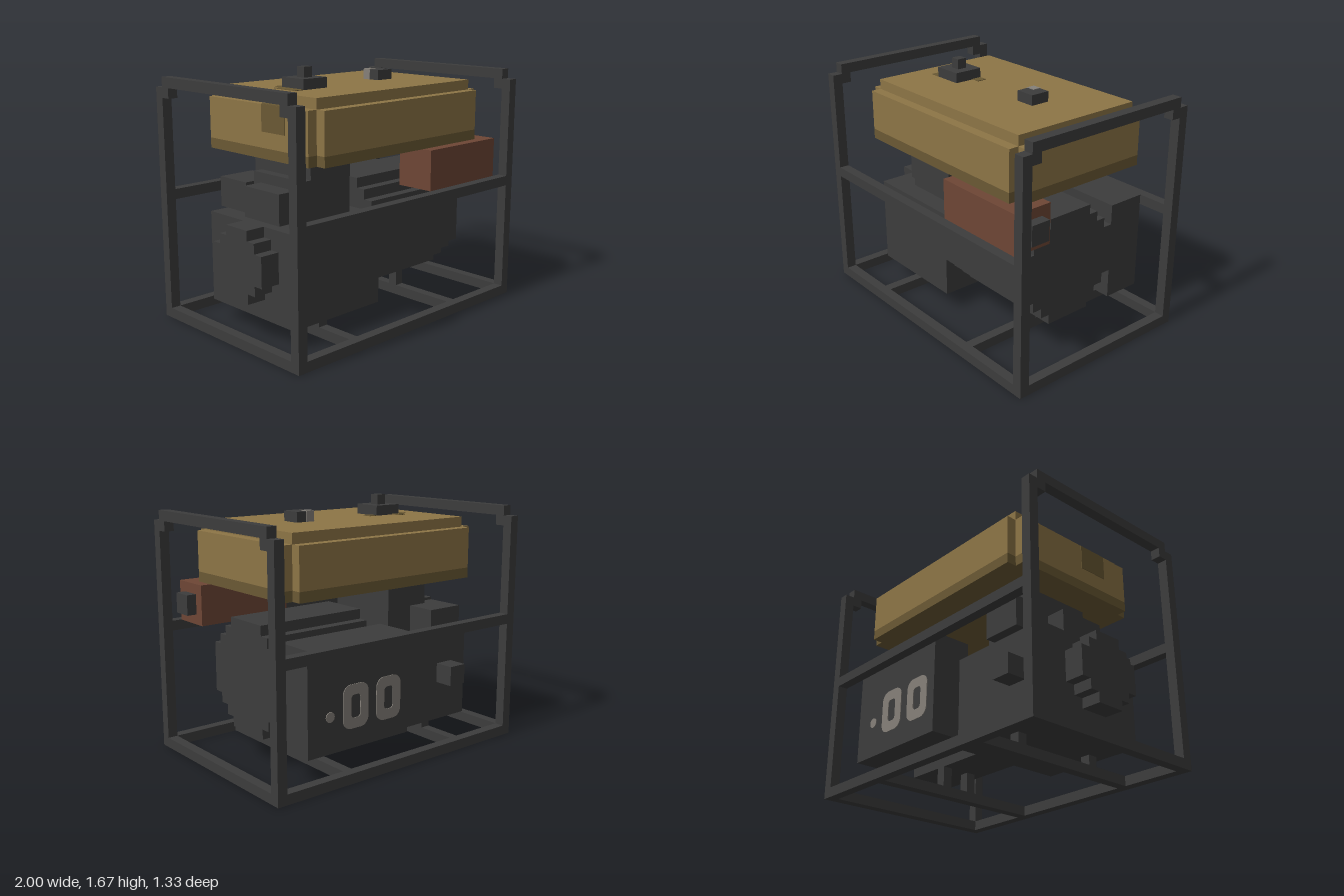
import * as THREE from 'three';

const U = 1 / 15; // grid unit: the machine is 30 units long

const mat = (name, color) => {
  const m = new THREE.MeshStandardMaterial({ color });
  m.name = name;
  return m;
};

export function createModel() {
  const model = new THREE.Group();
  model.name = 'generator';
  const dark = mat('dark steel', 0x3c3c3c);
  const tan = mat('tank tan', 0x8d7546);
  const brown = mat('tank dark tan', 0x6a5934);
  const red = mat('rust red', 0x6e4635);
  const grey = mat('light grey', 0x858079);

  const part = (name) => {
    const g = new THREE.Group();
    g.name = name;
    model.add(g);
    return g;
  };
  // box from ranges in grid units
  const box = (parent, name, m, [x0, x1], [y0, y1], [z0, z1]) => {
    const mesh = new THREE.Mesh(new THREE.BoxGeometry((x1 - x0) * U, (y1 - y0) * U, (z1 - z0) * U), m);
    mesh.position.set((x0 + x1) * U / 2, (y0 + y1) * U / 2, (z0 + z1) * U / 2);
    mesh.name = name;
    parent.add(mesh);
    return mesh;
  };
  // stepped disc along x, built of rows [y0, y1, half width]
  const steppedDisc = (parent, name, xr, cz, rows) =>
    rows.forEach(([y0, y1, h]) => box(parent, name, dark, xr, [y0, y1], [cz - h, cz + h]));
  // rounded rectangle traced into a Shape or Path
  const roundRect = (p, w, h, r) => {
    p.moveTo(-w / 2 + r, -h / 2);
    [[1, -1, -Math.PI / 2], [1, 1, 0], [-1, 1, Math.PI / 2], [-1, -1, Math.PI]].forEach(([sx, sy, a]) =>
      p.absarc(sx * (w / 2 - r), sy * (h / 2 - r), r, a, a + Math.PI / 2, false));
    return p;
  };

  // frame: posts, rails, end hoops
  const frame = part('frame');
  for (const z of [-10, 9]) {
    box(frame, 'bottomRail', dark, [-15, 15], [0, 1], [z, z + 1]);
    box(frame, 'middleRail', dark, [-14, 14], [12, 13], [z, z + 1]);
  }
  for (const x of [-15, 14]) {
    const xr = [x, x + 1];
    box(frame, 'endBottomRail', dark, xr, [0, 1], [-9, 9]);
    box(frame, 'topBar', dark, xr, [23, 24], [-9, 9]);
    for (const z of [-10, 9]) box(frame, 'post', dark, xr, [1, 23], [z, z + 1]);
    for (const z of [-9, 8]) box(frame, 'gusset', dark, xr, [22, 23], [z, z + 1]);
  }
  // cross members with mounting feet
  for (const [x, top, f] of [[-8, 2, 4], [6, 3, 1]]) {
    box(frame, 'crossMember', dark, [x, x + 1], [0, 1], [-9, 9]);
    for (const z of [f, -f - 1]) box(frame, 'foot', dark, [x, x + 1], [1, top], [z, z + 1]);
  }

  // engine block with cylinder tower and side parts
  const engine = part('engine');
  box(engine, 'engineBlock', dark, [-12, -1], [2, 11], [-6, 6]);
  box(engine, 'cylinderTower', dark, [-8, -2.98], [11, 17], [-4, 4]);
  box(engine, 'lowerShroud', dark, [-11, -8], [11, 14], [-2, 3]);
  box(engine, 'upperShroud', dark, [-9, -8], [11, 15], [-3, 4]);
  box(engine, 'carburettor', dark, [-10, -6], [11, 14], [-7, -3]);
  box(engine, 'oilFiller', dark, [-10, -8], [6, 8], [-8, -6]);
  steppedDisc(part('recoilStarter'), 'starterStep', [-14, -12], 0.5,
    [[4, 5, 1.5], [5, 6, 2.5], [6, 9, 3.5], [9, 10, 2.5], [10, 11, 1.5]]);

  // alternator drum
  steppedDisc(part('alternator'), 'alternatorStep', [-1, 11], 0.5,
    [[3, 4, 2.5], [4, 5, 3.5], [5, 6, 4.5], [6, 11, 5.5], [11, 12, 4.5], [12, 13, 3.5], [13, 14, 2.5]]);

  // control box with two sockets and a lamp on the back
  const control = part('controlBox');
  box(control, 'controlCase', dark, [-1, 11], [3, 13], [-9, -5]);
  for (const x of [5.5, 1.5]) {
    const ring = roundRect(new THREE.Shape(), 3 * U, 4.2 * U, 0.9 * U);
    ring.holes.push(roundRect(new THREE.Path(), 1.1 * U, 2.2 * U, 0.35 * U));
    const socket = new THREE.Mesh(new THREE.ExtrudeGeometry(ring, { depth: 0.005, bevelEnabled: false, curveSegments: 6 }), grey);
    socket.name = 'socket';
    socket.position.set(x * U, 7 * U, -9 * U - 0.005);
    control.add(socket);
  }
  const lamp = new THREE.Mesh(new THREE.CylinderGeometry(0.5 * U, 0.5 * U, 0.005, 12), grey);
  lamp.name = 'lamp';
  lamp.rotation.x = Math.PI / 2;
  lamp.position.set(8.5 * U, 6.5 * U, -9 * U - 0.0025);
  control.add(lamp);

  // red exhaust box with outlet
  const exhaust = part('exhaust');
  box(exhaust, 'exhaustBox', red, [3, 13], [13, 16.99], [5, 9]);
  box(exhaust, 'exhaustOutlet', dark, [13, 14], [14, 16], [6, 8]);

  // fuel tank with notched corners and a darker base band
  const tank = part('fuelTank');
  for (const [xr, zr] of [[[-11, 12], [-7, 7]], [[-10, 11], [-8, 8]]]) {
    box(tank, 'tankBand', brown, xr, [17, 18], zr);
    box(tank, 'tankBody', tan, xr, [18, 22], zr);
  }
  box(tank, 'tankTop', tan, [-10, 11], [22, 23], [-7, 7]);

  // fuel stains
  const t = 0.06;
  box(tank, 'stain', brown, [-8, -7], [23, 23 + t], [-1, 2]);
  box(tank, 'stain', brown, [-7, -6.1], [23, 23 + t], [-2, -1]);
  box(tank, 'stain', brown, [-4, -3.1], [23, 23 + t], [-1, 0]);
  box(tank, 'stain', brown, [-11, -10], [22, 22 + t], [0.8, 4]);
  box(tank, 'stain', brown, [-11 - t, -11], [19.5, 22], [0.8, 4]);

  // filler cap and fuel gauge
  const caps = part('tankCaps');
  box(caps, 'fillerCap', dark, [-7, -4], [23, 24], [-1, 2]);
  box(caps, 'fillerKnob', dark, [-6, -5], [24, 25], [0, 1]);
  box(caps, 'gauge', dark, [4, 6], [23, 24], [-1, 1]);
  box(caps, 'gaugeGlassTop', grey, [4, 4.9], [24, 24 + t], [-1, -0.2]);
  box(caps, 'gaugeGlassSide', grey, [4 - t, 4], [23, 24], [-1, -0.1]);
  box(caps, 'gaugeGlassBack', grey, [4, 4.9], [23, 24], [-1 - t, -1]);
  return model;
}
